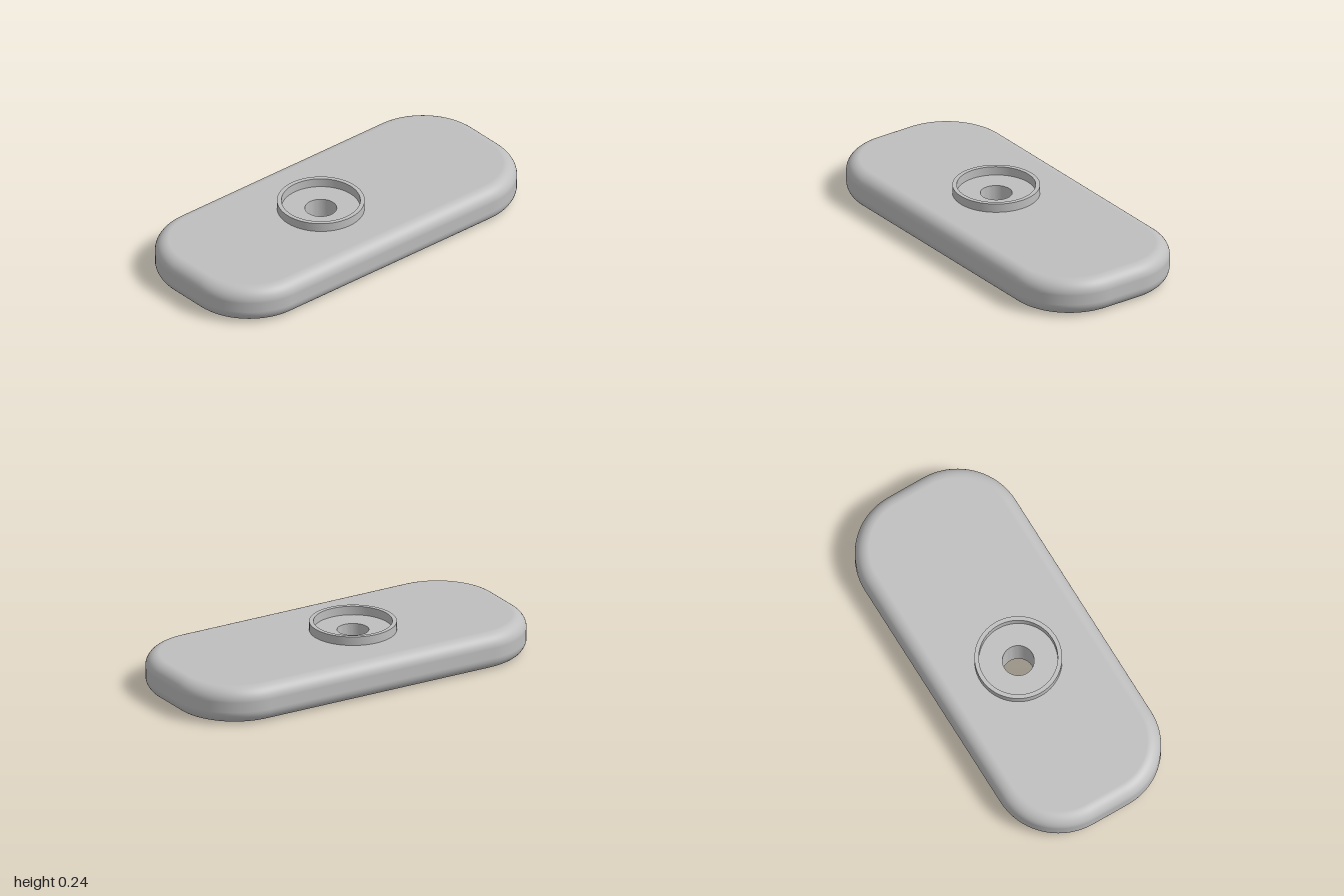
import * as THREE from 'three';
import { toCreasedNormals } from 'three/addons/utils/BufferGeometryUtils.js';

const HALF_X = 1, HALF_Z = 0.442, HEIGHT = 0.192;
const CORNER = 0.34, FILLET = 0.07;
const HOLE_X = -0.1, HOLE_R = 0.08;
const RING_OUT = 0.22, RING_IN = 0.198, RING_TOP = 0.238;

// Rounded-rectangle outline as corner centres with outward directions
function outline(steps) {
  const list = [];
  const signs = [[1, 1], [-1, 1], [-1, -1], [1, -1]];
  signs.forEach(([sx, sy], q) => {
    for (let i = 0; i <= steps; i++) {
      const t = (q + i / steps) * Math.PI / 2;
      list.push({
        cx: sx * (HALF_X - CORNER), cy: sy * (HALF_Z - CORNER),
        dx: Math.cos(t), dy: Math.sin(t),
      });
    }
  });
  return list;
}

// Side wall with rounded top and bottom edges
function sideGeometry(ring) {
  const steps = 10, rows = [];
  for (let half = 0; half < 2; half++) {
    for (let i = 0; i <= steps; i++) {
      rows.push({ a: (half - 1 + i / steps) * Math.PI / 2, y: half ? HEIGHT - FILLET : FILLET });
    }
  }
  const pos = [], nor = [], idx = [], n = ring.length;
  for (const { a, y } of rows) {
    const c = Math.cos(a), s = Math.sin(a), r = CORNER - FILLET + FILLET * c;
    for (const p of ring) {
      pos.push(p.cx + r * p.dx, y + FILLET * s, -(p.cy + r * p.dy));
      nor.push(c * p.dx, s, -c * p.dy);
    }
  }
  for (let j = 0; j < rows.length - 1; j++) {
    for (let i = 0; i < n; i++) {
      const a = j * n + i, b = j * n + (i + 1) % n;
      idx.push(a, b, b + n, a, b + n, a + n);
    }
  }
  const geo = new THREE.BufferGeometry();
  geo.setAttribute('position', new THREE.Float32BufferAttribute(pos, 3));
  geo.setAttribute('normal', new THREE.Float32BufferAttribute(nor, 3));
  geo.setIndex(idx);
  return geo;
}

// Flat face with the through hole
function capGeometry(ring) {
  const r = CORNER - FILLET;
  const shape = new THREE.Shape(ring.map(p => new THREE.Vector2(p.cx + r * p.dx, p.cy + r * p.dy)));
  shape.holes.push(new THREE.Path().absarc(HOLE_X, 0, HOLE_R, 0, Math.PI * 2, true));
  return new THREE.ShapeGeometry(shape, 32);
}

function lathe(points) {
  const geo = new THREE.LatheGeometry(points.map(p => new THREE.Vector2(...p)), 64);
  return toCreasedNormals(geo, Math.PI / 6).translate(HOLE_X, 0, 0);
}

export function createModel() {
  const grey = new THREE.MeshStandardMaterial({ color: 0xbfbfbf });
  grey.name = 'light grey';
  const model = new THREE.Group();
  model.name = 'roundedPlate';
  const add = (name, geo) => {
    const mesh = new THREE.Mesh(geo, grey);
    mesh.name = name;
    model.add(mesh);
  };

  const ring = outline(20);
  add('plateSide', sideGeometry(ring));
  add('plateTop', capGeometry(ring).rotateX(-Math.PI / 2).translate(0, HEIGHT, 0));
  add('plateBottom', capGeometry(ring).rotateX(Math.PI / 2));

  // Wall of the through hole, facing its axis
  add('holeWall', lathe([[HOLE_R, HEIGHT], [HOLE_R, 0]]));

  // Thin raised collar around the hole
  add('collar', lathe([
    [RING_OUT, HEIGHT], [RING_OUT, RING_TOP], [RING_IN, RING_TOP], [RING_IN, HEIGHT],
  ]));
  return model;
}
